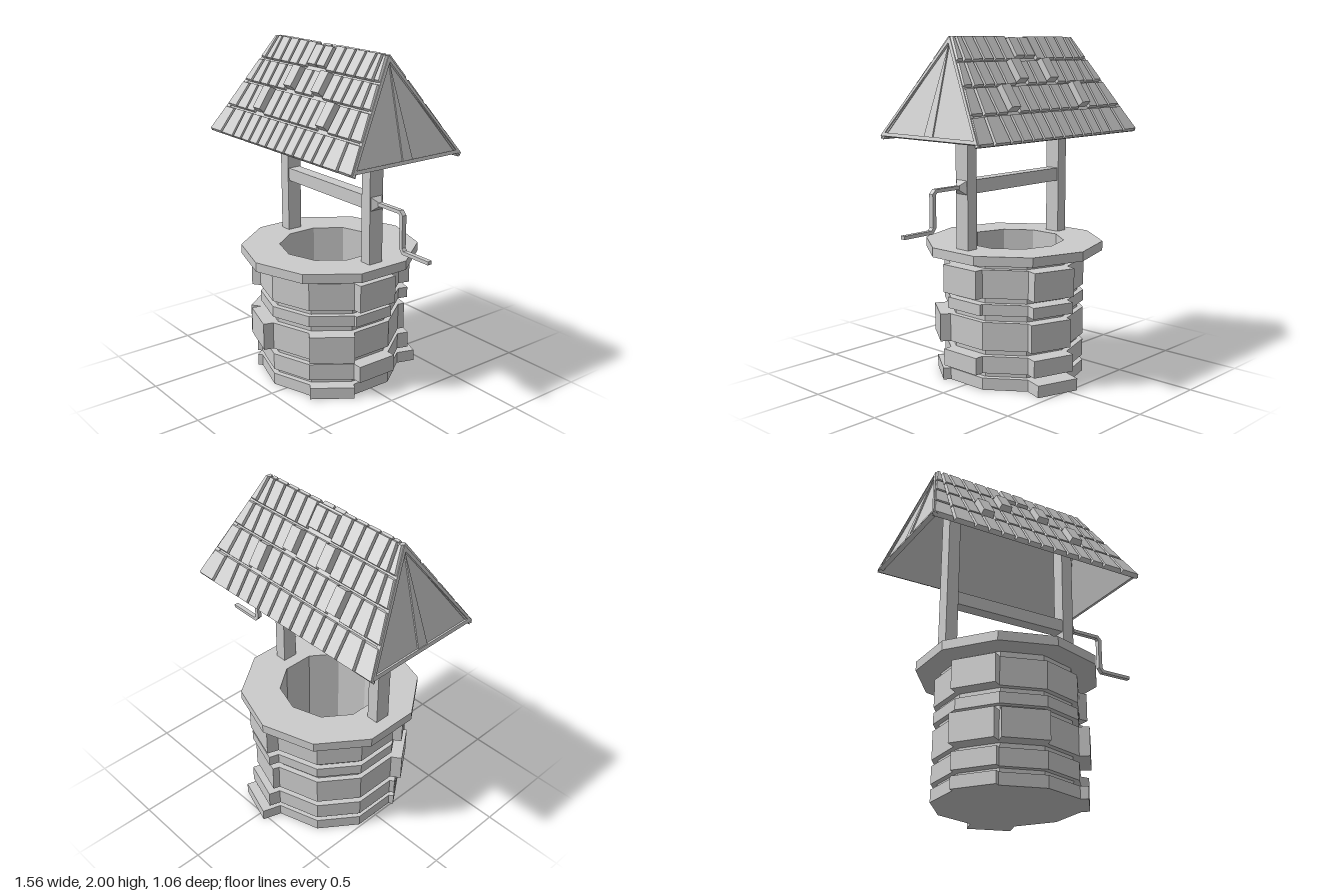
import * as THREE from 'three';
import { mergeGeometries } from 'three/addons/utils/BufferGeometryUtils.js';

const mat = new THREE.MeshStandardMaterial({ color: 0xcccccc, flatShading: true });
const SIDES = 10;
const BODY_R = 0.42, GROOVE_R = 0.385;

function add(parent, name, geometry, x = 0, y = 0, z = 0) {
  const mesh = new THREE.Mesh(geometry, mat);
  mesh.name = name;
  mesh.position.set(x, y, z);
  parent.add(mesh);
  return mesh;
}

// Six-sided solid: four lower and four upper corners, both counter-clockwise seen from above
function hexahedron(lo, hi) {
  const v = [...lo, ...hi];
  const quads = [[3, 2, 1, 0], [4, 5, 6, 7], [0, 1, 5, 4], [1, 2, 6, 5], [2, 3, 7, 6], [3, 0, 4, 7]];
  const pos = [];
  for (const [a, b, c, d] of quads) for (const i of [a, b, c, a, c, d]) pos.push(...v[i]);
  const g = new THREE.BufferGeometry();
  g.setAttribute('position', new THREE.Float32BufferAttribute(pos, 3));
  g.computeVertexNormals();
  return g;
}

// Stone courses: bottom, top, and how far single stones stick out (face number: distance)
const COURSES = [
  [0, 0.07, { 1: 0.045, 4: 0.115, 8: 0.03 }],
  [0.1, 0.2, { 2: 0.055, 4: 0.07, 8: 0.03 }],
  [0.235, 0.4, { 1: 0.06, 4: 0.04, 8: 0.065, 9: 0.06 }],
  [0.44, 0.505, { 2: 0.02, 4: 0.06 }],
  [0.54, 0.705, { 2: 0.055, 4: 0.07, 8: 0.055 }],
];

function buildWell() {
  const well = new THREE.Group();
  well.name = 'well';
  // Ten-sided wall with grooves, rim and hollow shaft in one profile
  const profile = [[0, 0]];
  for (const [y0, y1] of COURSES) {
    if (y0 > 0) profile.push([GROOVE_R, y0]);
    profile.push([BODY_R, y0], [BODY_R, y1], [GROOVE_R, y1]);
  }
  profile.push([GROOVE_R, 0.75], [0.53, 0.75], [0.53, 0.805], [0.3, 0.805], [0.3, 0.05], [0, 0.05]);
  add(well, 'wallAndRim', new THREE.LatheGeometry(profile.map(p => new THREE.Vector2(...p)), SIDES));

  // Protruding stones
  const half = Math.PI / SIDES;
  const apothem = BODY_R * Math.cos(half), width = 2 * BODY_R * Math.sin(half);
  for (const [y0, y1, stones] of COURSES) {
    for (const [face, out] of Object.entries(stones)) {
      const depth = out + 0.03;
      const g = new THREE.BoxGeometry(width, y1 - y0, depth);
      g.translate(0, (y0 + y1) / 2, apothem + out - depth / 2);
      g.rotateY(half * (1 + 2 * Number(face)));
      add(well, 'stone', g);
    }
  }
  return well;
}

// Roof slope: t runs from eave (0) to ridge (1), h is height above the surface
const EAVE = { z: 0.39, y: 1.44 }, RIDGE = { z: 0.012, y: 2.0 };
const slopeLen = Math.hypot(EAVE.z - RIDGE.z, RIDGE.y - EAVE.y);
const nz = (RIDGE.y - EAVE.y) / slopeLen, ny = (EAVE.z - RIDGE.z) / slopeLen;
const onSlope = (x, t, h) => [
  x,
  THREE.MathUtils.lerp(EAVE.y, RIDGE.y, t) + ny * h,
  THREE.MathUtils.lerp(EAVE.z, RIDGE.z, t) + nz * h,
];

// Column edges: ten straight columns, then a slanted hip column and corner column at each end
function columnEdge(i, t) {
  const k = i - 7;
  if (Math.abs(k) <= 5) return k * 0.0865;
  const x = Math.abs(k) === 6
    ? THREE.MathUtils.lerp(0.5625, 0.477, t)
    : THREE.MathUtils.lerp(0.692, 0.51, t);
  return Math.sign(k) * x;
}

function slab(left, right, t0, t1, h0, h1, inset = 0) {
  const ring = (h, s) => {
    const a = t0 + s / slopeLen, b = t1 - s / slopeLen;
    return [onSlope(left(a) + s, a, h), onSlope(right(a) - s, a, h),
      onSlope(right(b) - s, b, h), onSlope(left(b) + s, b, h)];
  };
  return hexahedron(ring(h0, 0), ring(h1, inset));
}

function buildRoofSide() {
  const side = new THREE.Group();
  side.name = 'roofSide';
  add(side, 'roofBoard', slab(t => columnEdge(0, t) + 0.004, t => columnEdge(14, t) - 0.004,
    0.004, 0.995, -0.03, -0.018));
  const rows = [0, 0.26, 0.52, 0.76, 1];
  const raised = [[], [3, 10], [5, 8], [6, 7]];
  const gap = 0.003;
  for (let r = 0; r < 4; r++) {
    const tiles = [];
    for (let c = 0; c < 14; c++) {
      const up = raised[r].includes(c);
      const corner = c === 0 || c === 13;
      const lift = up ? (r === 3 ? 0.01 : 0.028) : 0;
      const t0 = rows[r] + (r ? 0.006 : 0) + (up ? 0.02 : 0);
      const t1 = rows[r + 1] - (r < 3 ? 0.006 : up ? 0.02 : 0);
      const left = t => columnEdge(c, t) + (c === 0 ? 0 : gap);
      const right = t => columnEdge(c + 1, t) - (c === 13 ? 0 : gap);
      tiles.push(slab(left, right, t0, t1, -0.02, lift, corner ? 0.008 : 0.005));
    }
    add(side, 'tileRow', mergeGeometries(tiles));
  }
  return side;
}

// Gable end: slanted triangular frame with a recessed panel and a tapering centre board
function buildGable() {
  const gable = new THREE.Group();
  gable.name = 'gable';
  const tri = (w, y0, y1, Type = THREE.Shape) =>
    new Type([[-w, y0], [w, y0], [0, y1]].map(p => new THREE.Vector2(...p)));
  const lean = Math.atan(0.182 / 0.56);
  const place = (name, shape, depth, front) => {
    const g = new THREE.ExtrudeGeometry(shape, { depth, bevelEnabled: false });
    g.translate(0, 0.006, front - depth);
    g.rotateX(-lean);
    g.rotateY(Math.PI / 2);
    add(gable, name, g, 0.692, 1.44, 0);
  };
  const frame = tri(0.382, 0, 0.575);
  frame.holes.push(tri(0.35, 0.02, 0.54, THREE.Path));
  place('gableFrame', frame, 0.028, 0);
  place('gablePanel', tri(0.355, 0.015, 0.545), 0.012, -0.014);
  place('gableBoard', tri(0.034, 0.015, 0.54), 0.016, -0.006);
  return gable;
}

export function createModel() {
  const model = new THREE.Group();
  model.name = 'wishingWell';
  const body = new THREE.Group();
  body.name = 'wellAndRoof';
  body.position.x = -0.0875;
  model.add(body);

  body.add(buildWell());
  // Posts and crossbar
  for (const s of [-1, 1]) {
    add(body, 'post', new THREE.BoxGeometry(0.072, 1.1, 0.094), s * 0.392, 1.34, 0);
  }
  add(body, 'crossbar', new THREE.BoxGeometry(0.74, 0.078, 0.078), 0, 1.163, 0);

  // Roof: both slopes and both gables
  for (const turn of [0, Math.PI]) {
    for (const part of [buildRoofSide(), buildGable()]) {
      part.rotation.y = turn;
      body.add(part);
    }
  }

  // Crank handle with its pyramid hub
  const hub = new THREE.CylinderGeometry(0.016, 0.058, 0.036, 4);
  hub.rotateY(Math.PI / 4);
  hub.rotateZ(-Math.PI / 2);
  add(model, 'crankHub', hub, 0.357, 1.163, 0);
  const outline = [[0.34, 1.175], [0.55, 1.175], [0.574, 1.15], [0.574, 0.965], [0.586, 0.95], [0.78, 0.95],
    [0.78, 0.93], [0.575, 0.93], [0.55, 0.96], [0.55, 1.145], [0.54, 1.155], [0.34, 1.155]];
  const crank = new THREE.ExtrudeGeometry(
    new THREE.Shape(outline.map(p => new THREE.Vector2(...p))), { depth: 0.028, bevelEnabled: false });
  add(model, 'crankHandle', crank, 0, 0, -0.014);
  return model;
}
